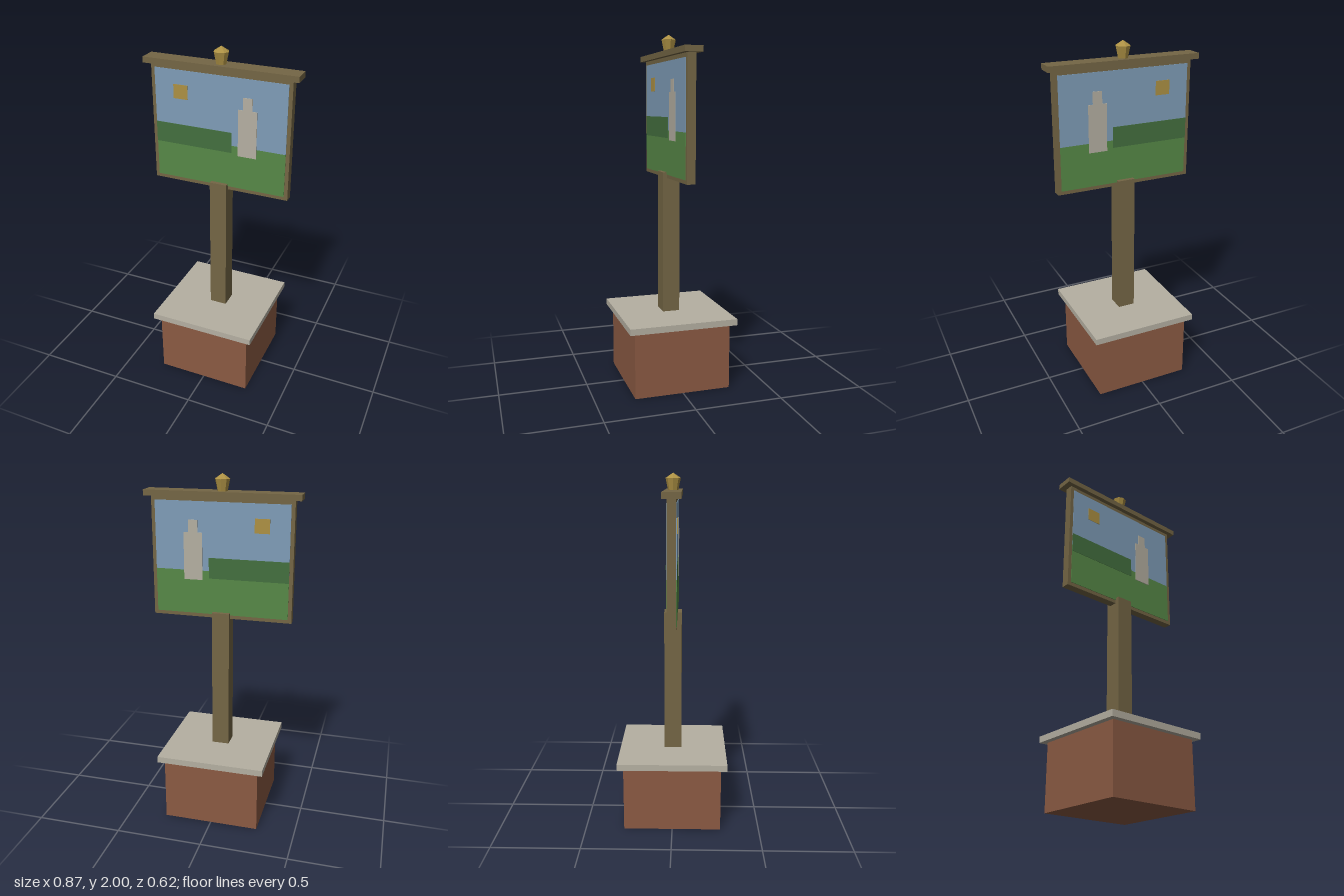
import * as THREE from 'three';

const mat = (name, color, extra = {}) => {
  const m = new THREE.MeshStandardMaterial({ color, ...extra });
  m.name = name;
  return m;
};

export function createModel() {
  const brick = mat('brick', 0x8b5a43);
  const stone = mat('stone', 0xb5b0a2);
  const wood = mat('wood', 0x746645);
  const gold = mat('gold', 0xad9144, { flatShading: true });
  const sky = mat('sky', 0x7f9db8);
  const grass = mat('grass', 0x578947);
  const hill = mat('hill', 0x44703f);

  const root = new THREE.Group();
  root.name = 'villageSign';

  // Box given by its x, y and z ranges
  const box = (parent, name, material, x0, x1, y0, y1, z0, z1) => {
    const mesh = new THREE.Mesh(new THREE.BoxGeometry(x1 - x0, y1 - y0, z1 - z0), material);
    mesh.position.set((x0 + x1) / 2, (y0 + y1) / 2, (z0 + z1) / 2);
    mesh.name = name;
    parent.add(mesh);
  };

  // Plinth and post
  box(root, 'plinth', brick, -0.278, 0.278, 0, 0.379, -0.278, 0.278);
  box(root, 'plinthCap', stone, -0.311, 0.311, 0.379, 0.415, -0.311, 0.311);
  box(root, 'post', wood, -0.05, 0.05, 0.415, 1.234, -0.05, 0.05);

  // Framed board and the beam over it
  box(root, 'boardFrame', wood, -0.4, 0.4, 1.2, 1.875, -0.024, 0.024);
  box(root, 'topBeam', wood, -0.436, 0.436, 1.875, 1.907, -0.05, 0.05);

  // Painted scene, the same on both faces
  for (const side of [1, -1]) {
    const scene = new THREE.Group();
    scene.name = side > 0 ? 'frontPicture' : 'backPicture';
    const plate = (name, material, x0, x1, y0, y1, depth) => {
      const [a, b] = [side * 0.022, side * depth];
      box(scene, name, material, x0, x1, y0, y1, Math.min(a, b), Math.max(a, b));
    };
    plate('sky', sky, -0.379, 0.379, 1.47, 1.852, 0.027);
    plate('meadow', grass, -0.379, 0.379, 1.221, 1.47, 0.027);
    plate('hill', hill, -0.379, 0.072, 1.428, 1.545, 0.029);
    plate('sun', gold, -0.268, -0.185, 1.693, 1.772, 0.03);
    plate('tower', stone, 0.109, 0.215, 1.417, 1.682, 0.031);
    plate('towerTop', stone, 0.135, 0.188, 1.682, 1.751, 0.031);
    root.add(scene);
  }

  // Eight-sided finial
  const profile = [[0, 1.907], [0.028, 1.907], [0.042, 1.972], [0, 2]];
  const finial = new THREE.Mesh(
    new THREE.LatheGeometry(profile.map(([r, y]) => new THREE.Vector2(r, y)), 8), gold);
  finial.name = 'finial';
  root.add(finial);

  return root;
}
